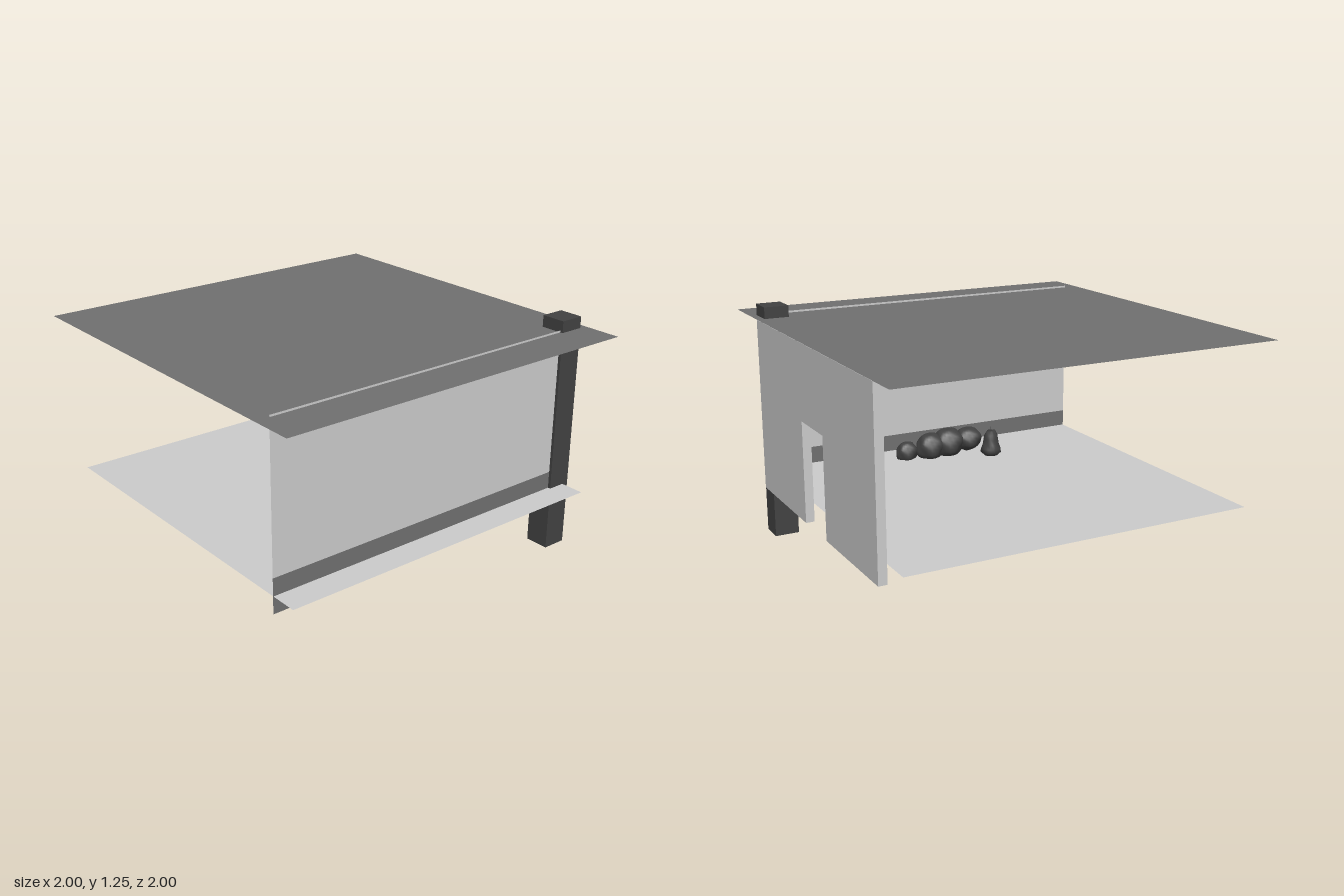
import * as THREE from 'three';

const material = (color) => new THREE.MeshStandardMaterial({ color, side: THREE.DoubleSide });
const grey = material(0xcccccc);
const mid = material(0x707070);
const dark = material(0x424242);

function add(group, name, geometry, mat, x, y, z) {
  const mesh = new THREE.Mesh(geometry, mat);
  mesh.name = name;
  mesh.position.set(x, y, z);
  group.add(mesh);
  return mesh;
}

// Push each vertex along its direction by a smooth wave, for a lumpy surface
function lumpy(geometry, amount, frequency) {
  const p = geometry.attributes.position;
  const v = new THREE.Vector3();
  for (let i = 0; i < p.count; i++) {
    v.fromBufferAttribute(p, i);
    const wave = Math.sin(v.x * frequency + 1) * Math.sin(v.y * frequency) * Math.cos(v.z * frequency);
    v.multiplyScalar(1 + amount * wave);
    p.setXYZ(i, v.x, v.y, v.z);
  }
  geometry.computeVertexNormals();
  return geometry;
}

export function createModel() {
  const model = new THREE.Group();
  model.name = 'openShed';

  // Thin horizontal sheets
  add(model, 'roof', new THREE.PlaneGeometry(2, 2).rotateX(-Math.PI / 2), mid, 0, 1.19, 0);
  add(model, 'floor', new THREE.PlaneGeometry(1.846, 1.846).rotateX(-Math.PI / 2), grey, 0, 0.345, 0);

  // Front wall sheet with a darker base band
  add(model, 'frontWall', new THREE.PlaneGeometry(1.85, 0.765), grey, 0, 0.8175, 0.78);
  add(model, 'frontBaseBand', new THREE.PlaneGeometry(1.85, 0.18), mid, 0, 0.345, 0.78);

  // Thick side wall with a doorway, drawn in (-z, y) and turned to face +x
  const outline = new THREE.Shape([
    [-0.767, 0.25], [-0.14, 0.25], [-0.14, 0.775], [0.14, 0.775],
    [0.14, 0.25], [0.76, 0.25], [0.76, 1.17], [-0.767, 1.17],
  ].map(([x, y]) => new THREE.Vector2(x, y)));
  const wall = new THREE.ExtrudeGeometry(outline, { depth: 0.045, bevelEnabled: false });
  add(model, 'rightWall', wall.rotateY(Math.PI / 2), grey, 0.925, 0, 0);

  // Corner post
  add(model, 'cornerPost', new THREE.BoxGeometry(0.13, 1.25, 0.13), dark, 0.895, 0.625, 0.73);

  // Bell-shaped ornament with a small tip
  const profile = [
    [0, 0], [0.035, 0.003], [0.052, 0.02], [0.05, 0.04], [0.042, 0.06],
    [0.037, 0.09], [0.033, 0.11], [0.022, 0.128], [0, 0.133],
  ].map(([r, y]) => new THREE.Vector2(r, y));
  add(model, 'ornament', lumpy(new THREE.LatheGeometry(profile, 24), 0.06, 90), dark, 0, 0.5, 0);
  add(model, 'ornamentTip', new THREE.ConeGeometry(0.005, 0.03, 8), dark, 0, 0.64, 0);

  // Low pile of rounded lumps sunk slightly into the floor
  const pile = new THREE.Group();
  pile.name = 'pile';
  [
    [-0.16, 0.42, 0.57, 0.08, 0.065, 0.07],
    [-0.04, 0.41, 0.58, 0.09, 0.085, 0.08],
    [0.07, 0.40, 0.58, 0.08, 0.08, 0.07],
    [0.2, 0.38, 0.61, 0.06, 0.06, 0.05],
  ].forEach(([x, y, z, a, b, c]) => {
    const lump = lumpy(new THREE.SphereGeometry(1, 24, 16), 0.12, 4).scale(a, b, c);
    add(pile, 'lump', lump, dark, x, y, z);
  });
  model.add(pile);

  return model;
}
